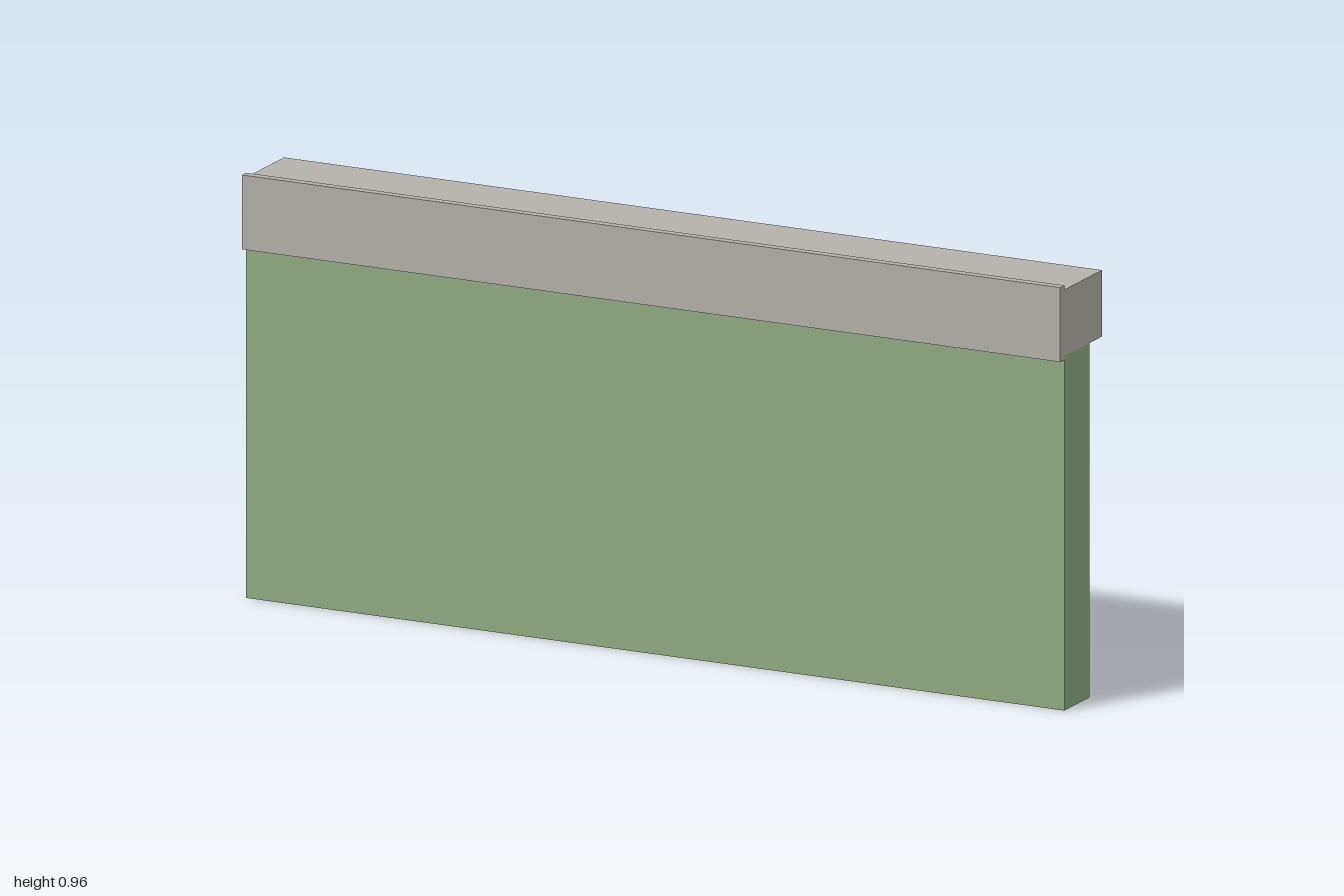
import * as THREE from 'three';

export function createModel() {
  const group = new THREE.Group();
  const green = new THREE.MeshStandardMaterial({ color: 0x92ab82 });
  green.name = 'sage green';
  const stone = new THREE.MeshStandardMaterial({ color: 0xb5b0aa });
  stone.name = 'warm grey';

  // Full-length block spanning the given heights and depths
  function addBlock(name, y0, y1, z0, z1, material) {
    const mesh = new THREE.Mesh(new THREE.BoxGeometry(2, y1 - y0, z1 - z0), material);
    mesh.name = name;
    mesh.position.set(0, (y0 + y1) / 2, (z0 + z1) / 2);
    group.add(mesh);
  }

  addBlock('wallPanel', 0, 0.8, -0.04, 0.08, green);
  addBlock('topCap', 0.8, 0.95, -0.1, 0.08, stone);
  // Thin front board, slightly taller than the cap at both edges
  addBlock('frontTrim', 0.792, 0.96, 0.08, 0.1, stone);

  return group;
}
